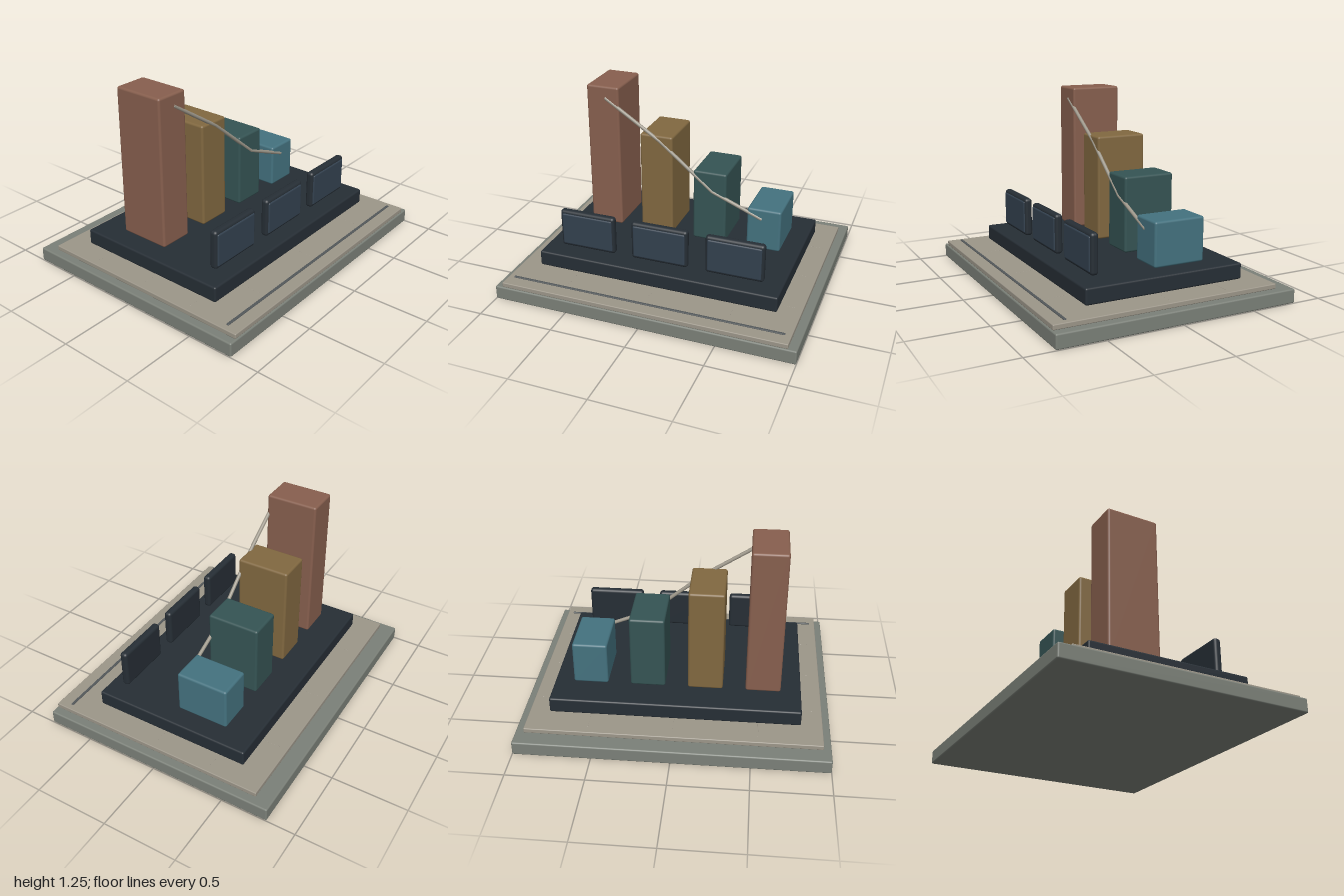
import * as THREE from 'three';
import { RoundedBoxGeometry } from 'three/addons/geometries/RoundedBoxGeometry.js';

const mat = (color) => new THREE.MeshStandardMaterial({ color });
const stone = mat(0x7b8078), sand = mat(0x9c9689), navy = mat(0x262e35);
const screenBlue = mat(0x33414f), slate = mat(0x53585a);

// Rounded block from its lower and upper corners
function block(name, [x0, y0, z0], [x1, y1, z1], radius, material) {
  const geometry = new RoundedBoxGeometry(x1 - x0, y1 - y0, z1 - z0, 3, radius);
  const mesh = new THREE.Mesh(geometry, material);
  mesh.position.set((x0 + x1) / 2, (y0 + y1) / 2, (z0 + z1) / 2);
  mesh.name = name;
  return mesh;
}

// Round rod between two points
function rod(name, a, b, radius, material) {
  const dir = b.clone().sub(a);
  const mesh = new THREE.Mesh(new THREE.CylinderGeometry(radius, radius, dir.length(), 16), material);
  mesh.position.copy(a).add(b).multiplyScalar(0.5);
  mesh.quaternion.setFromUnitVectors(new THREE.Vector3(0, 1, 0), dir.normalize());
  mesh.name = name;
  return mesh;
}

export function createModel() {
  const model = new THREE.Group();
  model.name = 'barChartDisplay';

  // Stacked base: plinth, pale deck and the dark platform hovering just above
  model.add(
    block('plinth', [-1, 0, -0.81], [1, 0.093, 0.81], 0.01, stone),
    block('deck', [-0.95, 0.093, -0.705], [0.945, 0.126, 0.803], 0.006, sand),
    block('platform', [-0.81, 0.142, -0.54], [0.807, 0.246, 0.538], 0.012, navy),
    block('frontStrip', [-0.91, 0.12, 0.702], [0.905, 0.132, 0.72], 0.004, slate)
  );

  // Fine seams almost flush with the deck
  const seams = new THREE.Group();
  seams.name = 'deckSeams';
  for (const x of [-0.54, 0, 0.54])
    seams.add(block('seam', [x - 0.002, 0.122, -0.65], [x + 0.002, 0.1265, 0.66], 0.0005, sand));
  for (const z of [-0.36, 0.04, 0.42])
    seams.add(block('seam', [-0.9, 0.122, z - 0.002], [0.9, 0.1265, z + 0.002], 0.0005, sand));
  model.add(seams);

  // Four chart bars descending towards +x
  const bars = [[1.25, 0x875f4e], [0.955, 0x816840], [0.748, 0x355454], [0.54, 0x44727f]];
  bars.forEach(([top, color], i) => {
    const x = -0.563 + i * 0.376;
    model.add(block('bar', [x - 0.114, 0.25, -0.342], [x + 0.114, top, 0.01], 0.015, mat(color)));
  });

  // Trend line across the bar fronts
  const trend = new THREE.Group();
  trend.name = 'trendLine';
  const points = [[-0.548, 1.17], [-0.165, 0.918], [0.207, 0.61], [0.55, 0.468]]
    .map(([x, y]) => new THREE.Vector3(x, y, 0.003));
  for (let i = 0; i < 3; i++) trend.add(rod('trendSegment', points[i], points[i + 1], 0.012, sand));
  model.add(trend);

  // Three framed display panels along the front
  for (const x of [-0.5, 0, 0.5]) {
    const panel = new THREE.Group();
    panel.name = 'displayPanel';
    panel.add(
      block('panelFrame', [-0.191, 0.27, 0.393], [0.191, 0.528, 0.445], 0.02, navy),
      block('panelScreen', [-0.176, 0.288, 0.43], [0.176, 0.508, 0.452], 0.01, screenBlue)
    );
    panel.position.x = x;
    model.add(panel);
  }
  return model;
}
